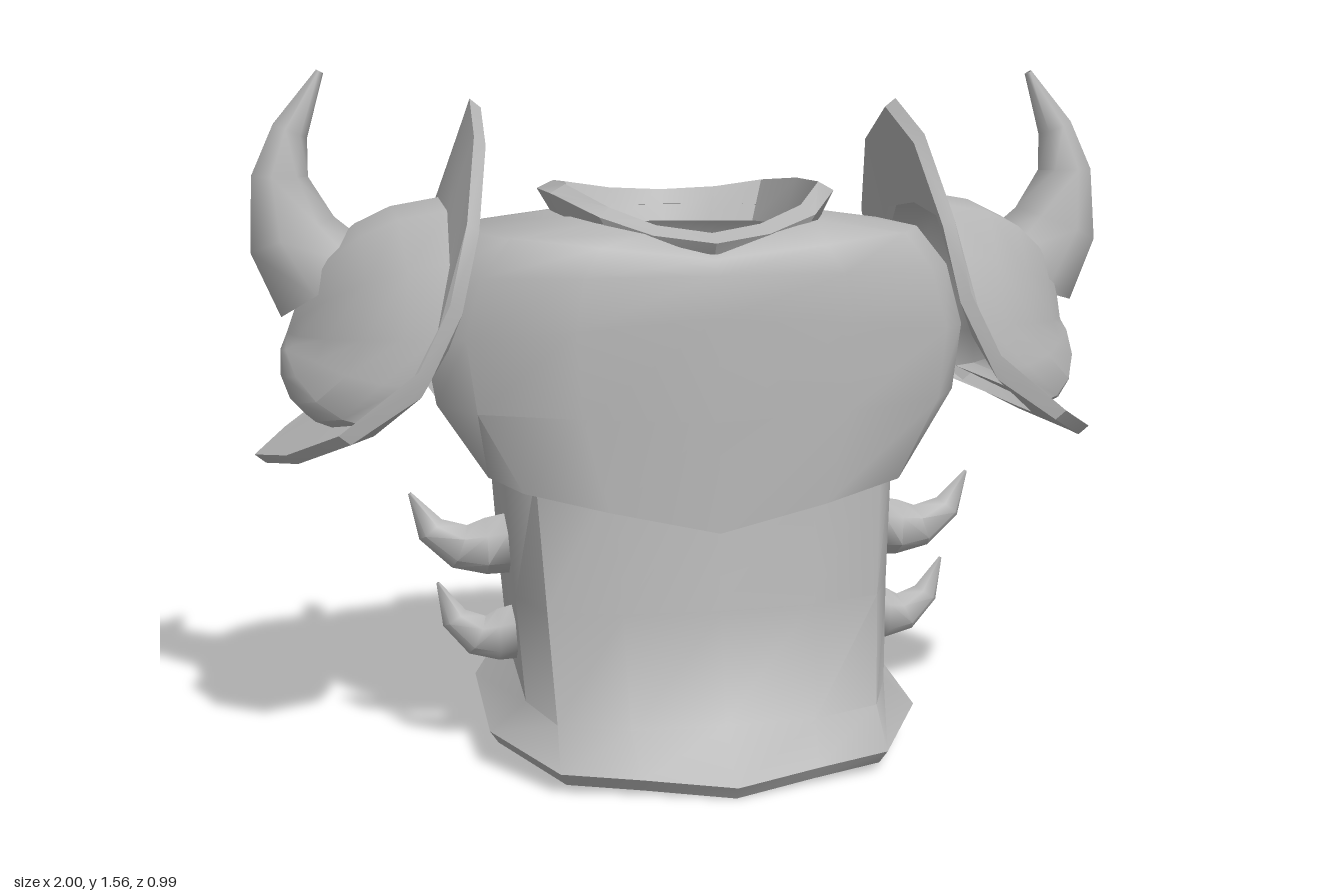
import * as THREE from 'three';
import { toCreasedNormals } from 'three/addons/utils/BufferGeometryUtils.js';

const steel = new THREE.MeshStandardMaterial({ color: 0xb3b3b3, side: THREE.DoubleSide });
steel.name = 'steel grey';

// Skin closed rings of points; skip(row, column) leaves a quad open.
function loft(name, rings, crease = 0.65, skip = () => false) {
  const n = rings[0].length;
  const index = [];
  for (let r = 0; r < rings.length - 1; r++) {
    for (let i = 0; i < n; i++) {
      if (skip(r, i)) continue;
      const j = (i + 1) % n;
      const a = r * n + i, b = r * n + j, c = b + n, d = a + n;
      index.push(a, b, c, a, c, d);
    }
  }
  const geo = new THREE.BufferGeometry();
  geo.setAttribute('position', new THREE.Float32BufferAttribute(rings.flat(2), 3));
  geo.setIndex(index);
  const mesh = new THREE.Mesh(toCreasedNormals(geo, crease), steel);
  mesh.name = name;
  return mesh;
}

// Torso outlines, front centre to back centre along the left side, then mirrored
const mirrorOutline = half => [...half, ...half.slice(1, -1).reverse().map(([u, v]) => [-u, v])];
const ROUND = mirrorOutline([[0, 1], [0.5, 0.97], [0.87, 0.84], [1, 0.5], [1, -0.45], [0.87, -0.78], [0.5, -0.93], [0, -1]]);
const POINTED = mirrorOutline([[0, 1], [0.4, 0.87], [0.74, 0.77], [1, 0.33], [1, -0.33], [0.83, -0.83], [0.45, -0.92], [0, -1]]);

// How the height blends from the front or back edge to the side
const straight = u => Math.abs(u);
const curved = u => u * u;
const tilted = (u, v) => 1 - Math.abs(v);

// Half width, front z, back z, then heights at front, side and back
function torsoRing([w, zf, zb, yf, ys, yb], outline, blend) {
  const mid = (zf + zb) / 2, depth = (zf - zb) / 2;
  return outline.map(([u, v]) => {
    const edge = v > 0 ? yf : yb;
    return [u * w, edge + (ys - edge) * blend(u, v), mid + v * depth];
  });
}

// Curved tapering spike; path rows are x, y, radius
function horn(name, path, z, sides, flat = 1) {
  const rings = path.map(([x, y, r], k) => {
    const p = path[Math.max(k - 1, 0)], q = path[Math.min(k + 1, path.length - 1)];
    const t = new THREE.Vector2(q[0] - p[0], q[1] - p[1]).normalize();
    return Array.from({ length: sides }, (_, i) => {
      const a = (i / sides) * Math.PI * 2;
      const c = Math.cos(a) * r, s = Math.sin(a) * r * flat;
      return [x - t.y * c, y + t.x * c, z + s];
    });
  });
  return loft(name, rings, 1);
}

// Mirror a half ring of x, y, half depth into a full ring
function shoulderRing(half, dx = 0, dy = 0) {
  const z0 = -0.05;
  const front = half.map(([x, y, z]) => [x + dx, y + dy, z0 + z]);
  const back = half.slice(1, -1).reverse().map(([x, y, z]) => [x + dx, y + dy, z0 - z]);
  return [...front, ...back];
}

function createSide() {
  const side = new THREE.Group();

  // Shoulder guard opening and its flared rim, top to bottom
  const opening = [[0.575, 1.28, 0], [0.57, 1.26, 0.18], [0.575, 1.15, 0.28], [0.61, 1.0, 0.325],
    [0.67, 0.9, 0.335], [0.77, 0.815, 0.3], [0.83, 0.79, 0.17], [0.85, 0.78, 0]];
  const rim = [[0.5, 1.5, 0], [0.51, 1.42, 0.19], [0.54, 1.24, 0.315], [0.58, 1.07, 0.33],
    [0.65, 0.93, 0.34], [0.82, 0.795, 0.315], [0.93, 0.735, 0.19], [1.0, 0.705, 0]];
  side.add(loft('shoulderRim', [
    shoulderRing(opening, -0.025, -0.025), shoulderRing(rim, -0.025, -0.02),
    shoulderRing(rim), shoulderRing(opening)], 0.6));

  // Bulging shoulder dome, fuller at the top than at the bottom
  const centre = [0.65, 1.0, -0.05], apex = [0.92, 0.98, -0.05];
  const base = shoulderRing(opening);
  const dome = [];
  for (let k = 0; k <= 5; k++) {
    const t = (k / 5) * Math.PI / 2;
    dome.push(base.map(p => {
      const power = 0.8 + 1.4 * (1.28 - p[1]);
      const c = Math.max(Math.cos(t), 0) ** power, s = Math.sin(t) ** power;
      return p.map((v, i) => centre[i] + (v - centre[i]) * c + (apex[i] - centre[i]) * s);
    }));
  }
  side.add(loft('shoulderDome', dome, 1));

  // Shoulder horn
  side.add(horn('shoulderHorn', [[0.83, 1.09, 0.135], [0.905, 1.2, 0.105], [0.927, 1.33, 0.065],
    [0.9, 1.43, 0.042], [0.83, 1.56, 0.009]], -0.055, 7, 0.95));

  // Two rib spikes
  const rib = [[0.44, 0.495, 0.07], [0.49, 0.49, 0.066], [0.55, 0.492, 0.052], [0.615, 0.535, 0.034], [0.66, 0.62, 0.004]];
  side.add(horn('upperRibSpike', rib, 0.045, 6, 0.9));
  side.add(horn('lowerRibSpike', rib.map(([x, y, r]) => [0.425 + (x - 0.44) * 0.8, y - 0.21, r * 0.92]), 0.045, 6, 0.85));
  return side;
}

export function createModel() {
  const model = new THREE.Group();
  model.name = 'spikedArmour';

  // Waist with flared, tilted hem, open below
  const hem = [
    [0.48, 0.475, -0.475, 0.005, 0.085, 0.125],
    [0.5, 0.495, -0.49, 0.035, 0.115, 0.155],
  ].map(row => torsoRing(row, POINTED, tilted));
  const waist = [
    [0.42, 0.365, -0.36, 0.13, 0.19, 0.22],
    [0.435, 0.31, -0.37, 0.38, 0.4, 0.38],
    [0.455, 0.265, -0.37, 0.68, 0.68, 0.68],
  ].map(row => torsoRing(row, ROUND, tilted));
  model.add(loft('waist', [...hem, ...waist], 0.85));

  // Chest shell with arm openings under the shoulder guards
  model.add(loft('chest', [
    [0.44, 0.26, -0.37, 0.55, 0.66, 0.535],
    [0.49, 0.31, -0.43, 0.555, 0.665, 0.54],
    [0.6, 0.295, -0.46, 0.8, 0.83, 0.8],
    [0.625, 0.285, -0.495, 1.03, 0.98, 1.05],
    [0.585, 0.275, -0.455, 1.12, 1.12, 1.16],
    [0.51, 0.26, -0.4, 1.155, 1.21, 1.23],
    [0.29, 0.22, -0.36, 1.18, 1.24, 1.24],
  ].map(row => torsoRing(row, ROUND, straight)), 1,
  (r, i) => r >= 1 && r <= 3 && (i === 3 || i === 10)));

  // Raised collar around the neck opening
  model.add(loft('collar', [
    [0.26, 0.18, -0.345, 1.165, 1.2, 1.2],
    [0.28, 0.25, -0.38, 1.165, 1.2, 1.21],
    [0.33, 0.265, -0.45, 1.19, 1.29, 1.255],
    [0.295, 0.22, -0.38, 1.21, 1.31, 1.275],
    [0.26, 0.18, -0.345, 1.165, 1.2, 1.2],
  ].map(row => torsoRing(row, POINTED, curved)), 0.5));

  // Matching shoulder guards and spikes
  const left = createSide();
  left.name = 'leftSide';
  const right = createSide();
  right.name = 'rightSide';
  right.scale.x = -1;
  model.add(left, right);
  return model;
}
